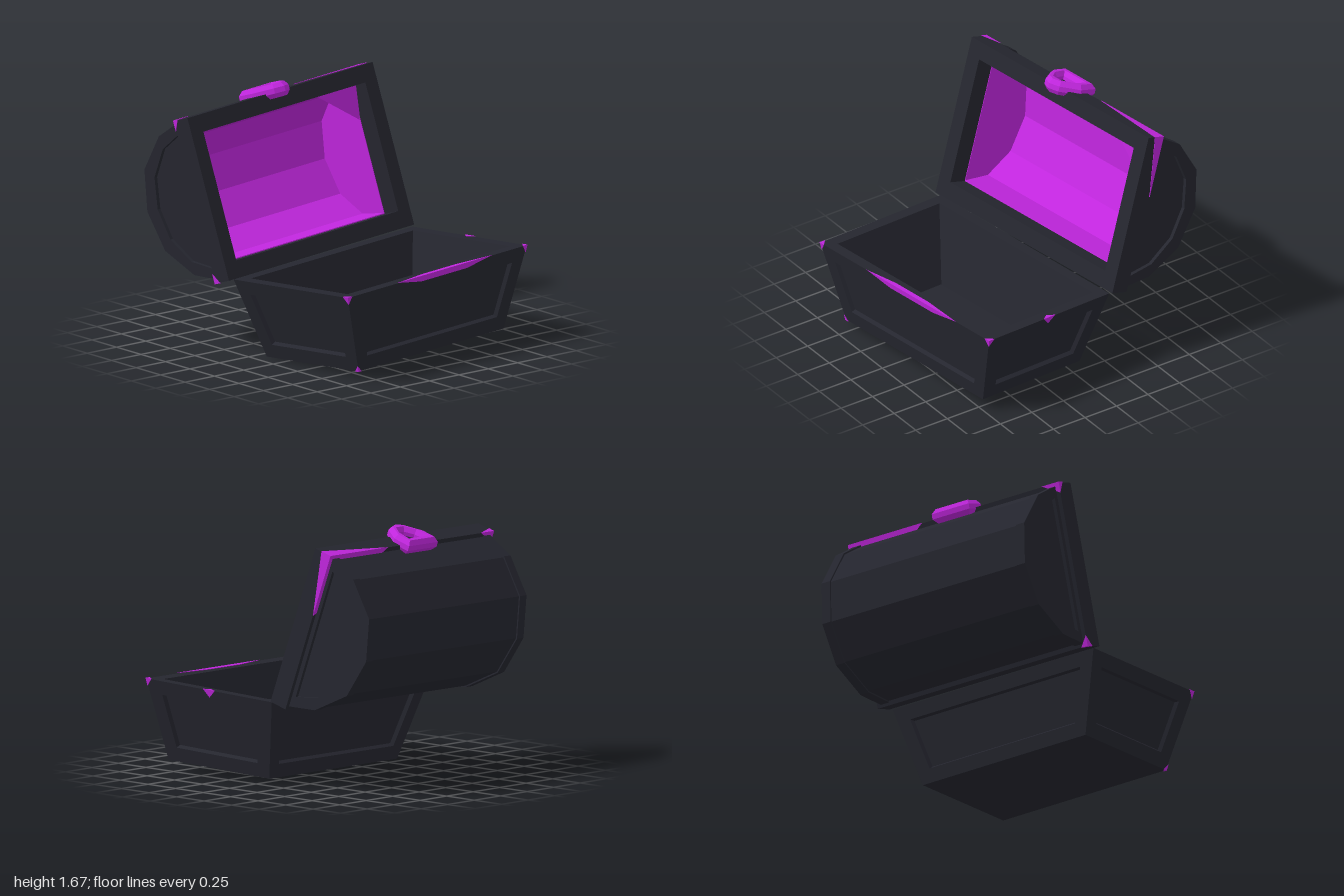
import * as THREE from 'three';
import { ConvexGeometry } from 'three/addons/geometries/ConvexGeometry.js';

const dark = new THREE.MeshStandardMaterial({ color: 0x25262f });
dark.name = 'charcoal';
const bright = new THREE.MeshStandardMaterial({ color: 0xc026dd });
bright.name = 'magenta';

function add(parent, name, geometry, material) {
  const mesh = new THREE.Mesh(geometry, material);
  mesh.name = name;
  parent.add(mesh);
  return mesh;
}

// Flat-shaded bands between successive four-corner loops, closed by a cap on the last loop.
function loft(loops) {
  const pos = [];
  const quad = (a, b, c, d) => [a, b, c, a, c, d].forEach((p) => pos.push(p.x, p.y, p.z));
  for (let k = 0; k + 1 < loops.length; k++) {
    const A = loops[k], B = loops[k + 1];
    for (let i = 0; i < 4; i++) quad(A[i], A[(i + 1) % 4], B[(i + 1) % 4], B[i]);
  }
  quad(...loops[loops.length - 1]);
  const g = new THREE.BufferGeometry();
  g.setAttribute('position', new THREE.Float32BufferAttribute(pos, 3));
  g.computeVertexNormals();
  return g;
}

const rect = (w, d, y) => [[-1, 1], [1, 1], [1, -1], [-1, -1]]
  .map(([x, z]) => new THREE.Vector3(x * w / 2, y, z * d / 2));

// Side face with a framed, sunken panel.
function sunkenPanel(c) {
  const normal = c[1].clone().sub(c[0]).cross(c[3].clone().sub(c[0])).normalize();
  const inset = (margin, depth) => c.map((p, i) => {
    const along = c[i ^ 1].clone().sub(p).normalize();
    const up = c[3 - i].clone().sub(p).normalize();
    return p.clone().addScaledVector(along, margin).addScaledVector(up, margin)
      .addScaledVector(normal, -depth);
  });
  return loft([c, inset(0.1, 0), inset(0.112, 0.025)]);
}

// Chipped edge or corner: a thin hull lying just over the faces it covers.
function chip(parent, points) {
  add(parent, 'chip', new ConvexGeometry(points.map((p) => new THREE.Vector3(...p))), bright);
}

const vecs = (list) => list.map(([x, y]) => new THREE.Vector2(x, y));

// Extrude a (depth, height) outline along x.
function alongX(outline, x0, x1, hole) {
  const shape = new THREE.Shape(vecs(outline));
  if (hole) shape.holes.push(new THREE.Path(vecs(hole)));
  const g = new THREE.ExtrudeGeometry(shape, { depth: x1 - x0, bevelEnabled: false });
  return g.translate(0, 0, x0).rotateY(Math.PI / 2);
}

const scaleProfile = (pts, s) => pts.map(([d, h]) => [0.13 + (d - 0.13) * s, 0.55 + (h - 0.55) * s]);

function makeBase() {
  const base = new THREE.Group();
  base.name = 'base';
  const bottom = rect(1.37, 0.835, 0), top = rect(1.69, 1.04, 0.54);
  for (let i = 0; i < 4; i++) {
    const j = (i + 1) % 4;
    add(base, 'sidePanel', sunkenPanel([bottom[i], bottom[j], top[j], top[i]]), dark);
  }
  add(base, 'underside', loft([[...bottom].reverse()]), dark);
  add(base, 'rimAndInterior', loft([top, rect(1.53, 0.88, 0.54), rect(1.21, 0.67, 0.04)]), dark);

  // Chips: long front edge, right edge, front corners, lower corner
  chip(base, [[-0.38, 0.544, 0.524], [0.52, 0.544, 0.524], [-0.12, 0.544, 0.49], [0.2, 0.544, 0.49],
    [-0.15, 0.505, 0.517], [0.28, 0.505, 0.517]]);
  chip(base, [[0.849, 0.544, -0.05], [0.849, 0.544, 0.05], [0.815, 0.544, 0], [0.835, 0.49, 0]]);
  for (const s of [-1, 1]) {
    chip(base, [[s * 0.849, 0.544, 0.524], [s * 0.849, 0.544, 0.475], [s * 0.805, 0.544, 0.524],
      [s * 0.836, 0.49, 0.514]]);
  }
  chip(base, [[-0.69, -0.003, 0.422], [-0.66, -0.003, 0.422], [-0.69, -0.003, 0.39], [-0.7, 0.04, 0.428]]);

  base.rotation.set(-0.056, 0.108, 0.028, 'YXZ');
  base.position.set(0.072, 0.043, 0.41);
  return base;
}

function makeLid() {
  const lid = new THREE.Group();
  lid.name = 'lid';

  // Rectangular rim around the opening
  const rim = new THREE.Shape(vecs([[-0.88, 0], [0.88, 0], [0.88, 1.1], [-0.88, 1.1]]));
  rim.holes.push(new THREE.Path(vecs([[-0.77, 0.115], [-0.77, 0.985], [0.77, 0.985], [0.77, 0.115]])));
  add(lid, 'lidRim', new THREE.ExtrudeGeometry(rim, { depth: 0.13, bevelEnabled: false })
    .translate(0, 0, -0.13), dark);

  // Faceted dome and its coloured lining
  const outer = [[0.13, 0.03], [0.33, 0.09], [0.535, 0.28], [0.605, 0.55], [0.535, 0.82], [0.33, 1.01], [0.13, 1.07]];
  const inner = [[0.13, 0.115], [0.33, 0.14], [0.49, 0.3], [0.55, 0.55], [0.49, 0.8], [0.33, 0.96], [0.13, 0.985]];
  const panel = [[0.16, 0.1], [0.33, 0.17], [0.47, 0.34], [0.515, 0.55], [0.47, 0.76], [0.33, 0.93], [0.16, 1.0]];
  const lining = scaleProfile(inner, 0.985);
  add(lid, 'dome', alongX([...outer, ...[...inner].reverse()], -0.82, 0.82), dark);
  add(lid, 'domeLining', alongX([...inner, ...[...lining].reverse()], -0.77, 0.77), bright);

  // Dome ends: raised frame, sunken panel, inner lining
  for (const s of [-1, 1]) {
    const span = (a, b) => (s > 0 ? [a, b] : [-b, -a]);
    add(lid, 'endFrame', alongX(scaleProfile(outer, 1.02), ...span(0.78, 0.85), panel), dark);
    add(lid, 'endPanel', alongX(outer, ...span(0.772, 0.825)), dark);
    add(lid, 'endLining', alongX(inner, ...span(0.766, 0.771)), bright);
  }

  // Shield-shaped clasp ring on the top edge
  const ring = new THREE.Shape(vecs([[-0.155, 0.2], [-0.155, 0.07], [-0.07, -0.05], [0, -0.08],
    [0.07, -0.05], [0.155, 0.07], [0.155, 0.2]]));
  ring.holes.push(new THREE.Path(vecs([[-0.085, 0.13], [0.085, 0.13], [0.075, 0.06], [0.03, 0.005],
    [-0.03, 0.005], [-0.075, 0.06]])));
  const clasp = new THREE.ExtrudeGeometry(ring, {
    depth: 0.035, bevelThickness: 0.03, bevelSize: 0.022, bevelOffset: -0.022, bevelSegments: 1,
  });
  add(lid, 'clasp', clasp.rotateX(-Math.PI / 2).translate(-0.03, 1.09, 0), bright);

  // Chips along the rear edge of the rim
  chip(lid, [[0.884, 1.104, -0.134], [0.884, 1.104, -0.055], [0.26, 1.104, -0.134], [0.884, 0.67, -0.134]]);
  chip(lid, [[-0.884, 1.104, -0.134], [-0.884, 1.104, -0.09], [-0.74, 1.104, -0.134], [-0.884, 1.03, -0.134]]);
  chip(lid, [[-0.884, -0.004, -0.134], [-0.884, -0.004, -0.08], [-0.83, -0.004, -0.134], [-0.884, 0.07, -0.134]]);

  lid.rotation.set(-0.318, 0.105, 0.033, 'YXZ');
  lid.position.set(-0.015, 0.557, -0.135);
  return lid;
}

export function createModel() {
  const chest = new THREE.Group();
  chest.name = 'openChest';
  chest.add(makeBase(), makeLid());
  return chest;
}
